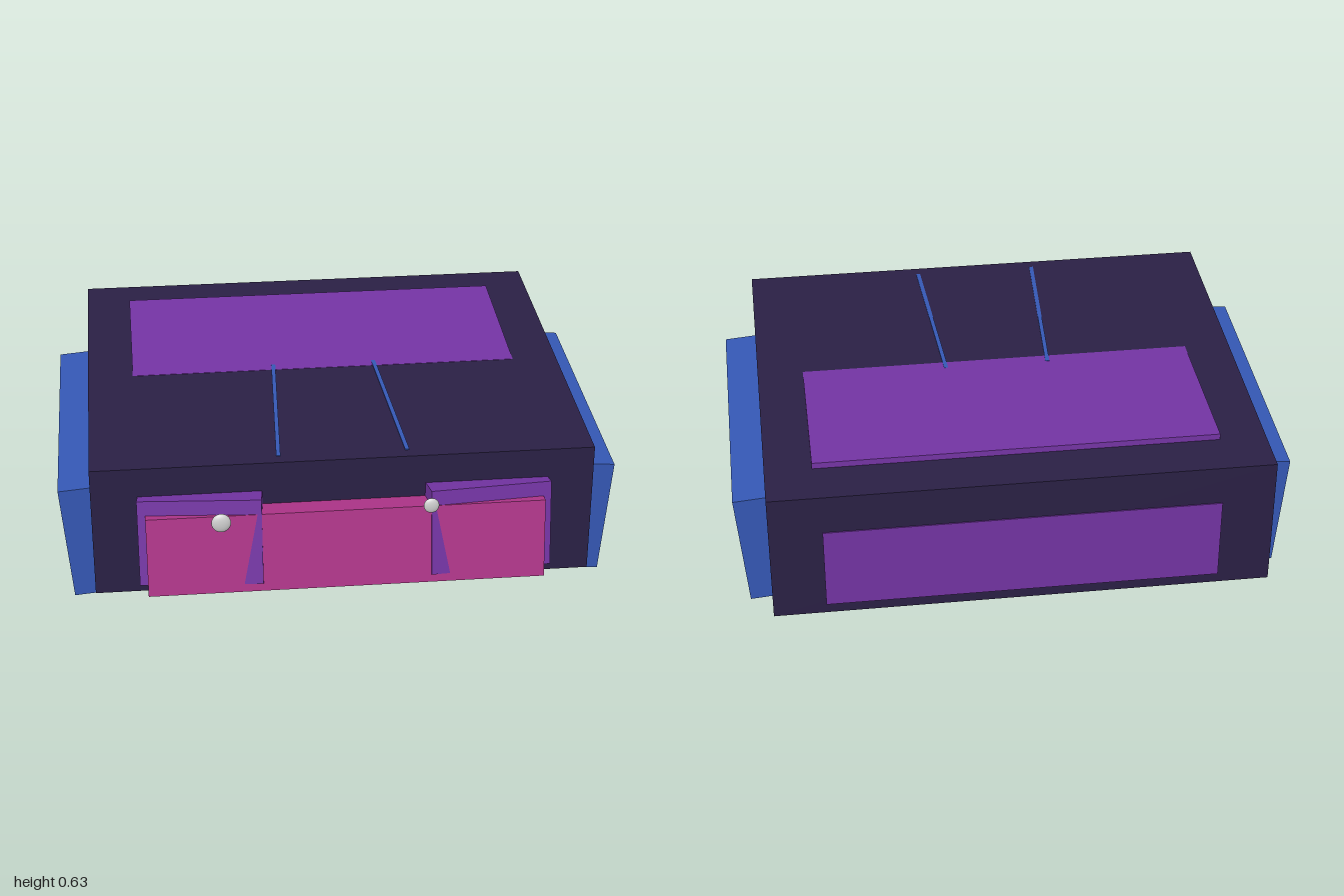
import * as THREE from 'three';

const mat = (color) => new THREE.MeshStandardMaterial({ color });

export function createModel() {
  const model = new THREE.Group();
  const dark = mat(0x2a2045), blue = mat(0x3558b5), purple = mat(0x7434a4);
  const pink = mat(0xb0358a), grey = mat(0xcccccc);

  const add = (name, geometry, material, pos, rot = [0, 0, 0]) => {
    const mesh = new THREE.Mesh(geometry, material);
    mesh.name = name;
    mesh.position.set(...pos);
    mesh.rotation.set(...rot);
    model.add(mesh);
    return mesh;
  };
  const box = (w, h, d) => new THREE.BoxGeometry(w, h, d);

  // Main slab
  add('body', box(1.76, 0.493, 1.5), dark, [0, 0.3565, -0.075]);

  // Raised panel on top, rising slightly toward the back
  add('topPanel', box(1.43, 0.06, 0.62), purple, [0, 0.5847, -0.341], [0.034, 0, 0]);

  // Panel just proud of the back face
  add('backPanel', box(1.39, 0.31, 0.1), purple, [0, 0.302, -0.779]);

  // Front panel leaning back
  add('frontPanel', box(1.39, 0.288, 0.25), pink, [0, 0.295, 0.666], [-0.14, 0, 0]);

  for (const s of [-1, 1]) {
    const side = s > 0 ? 'left' : 'right';

    // Side blocks leaning outward
    add(side + 'SideBlock', box(0.305, 0.436, 1.09), blue,
      [s * 0.8265, 0.2305, -0.035], [0, 0, -s * 0.087]);

    // Front blocks, hinged at their lower inner front corner
    add(side + 'FrontBlock', box(0.43, 0.312, 0.22).translate(s * 0.215, 0.156, -0.11), purple,
      [s * 0.295, 0.2, 0.8123], [-0.16, s * 0.1, 0]);

    // Thin strips on the top, spreading toward the front
    add(side + 'Strip', box(0.015, 0.02, 0.7), blue,
      [s * 0.207, 0.596, 0.28], [0, s * 0.053, 0]);
  }

  // Flattened studs in front of the panel
  const stud = (name, r, pos) => {
    add(name, new THREE.SphereGeometry(r, 24, 16), grey, pos, [-0.1, 0, 0]).scale.z = 0.38;
  };
  stud('rightStud', 0.034, [-0.437, 0.45, 0.805]);
  stud('leftStud', 0.027, [0.287, 0.483, 0.814]);

  return model;
}
